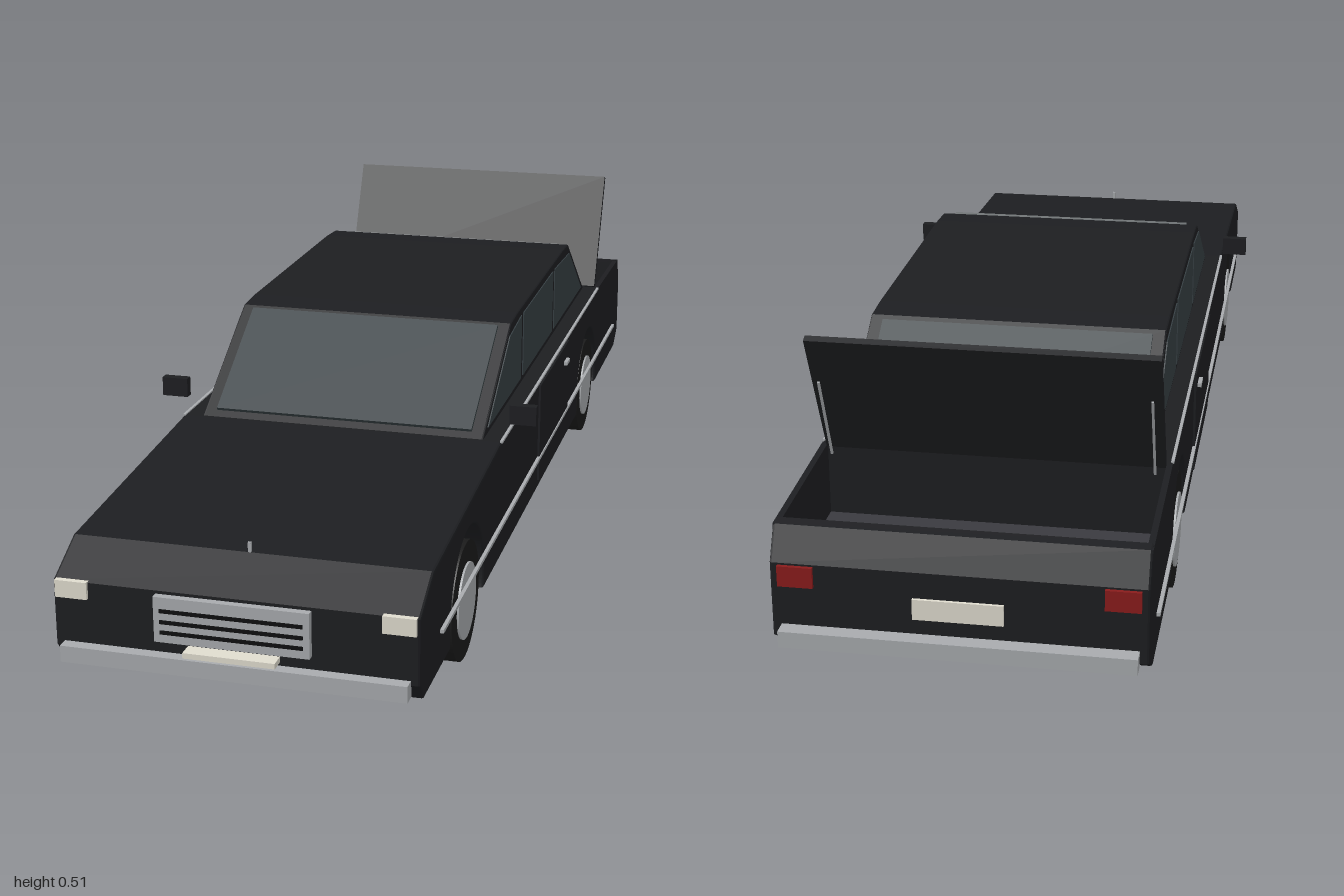
import * as THREE from 'three';

const mat = (color) => new THREE.MeshStandardMaterial({ color });

export function createModel() {
  const car = new THREE.Group();
  car.name = 'sedan';
  const paint = mat(0x1d1e21), black = mat(0x0e0e0f), tyre = mat(0x1b1b1b), chrome = mat(0xa8abae);
  const glass = mat(0x363f43), lamp = mat(0xe0dccf), red = mat(0x8a1c1c), lining = mat(0x3a3a3f);

  const add = (name, geometry, material) => {
    const mesh = new THREE.Mesh(geometry, material);
    mesh.name = name;
    car.add(mesh);
    return mesh;
  };
  const box = (name, material, w, h, d, x, y, z) => {
    const mesh = add(name, new THREE.BoxGeometry(w, h, d), material);
    mesh.position.set(x, y, z);
    return mesh;
  };
  // side profile given as [z, y] points, extruded across x
  const across = (name, material, shape, width, x = 0, bevel = 0) => {
    const g = new THREE.ExtrudeGeometry(shape, {
      depth: width - 2 * bevel, curveSegments: 32, bevelEnabled: bevel > 0,
      bevelSize: bevel, bevelThickness: bevel, bevelOffset: -bevel, bevelSegments: 2,
    });
    g.translate(0, 0, -(width - 2 * bevel) / 2).rotateY(-Math.PI / 2).translate(x, 0, 0);
    return add(name, g, material);
  };
  const poly = (points) => new THREE.Shape(points.map(([z, y]) => new THREE.Vector2(z, y)));
  // flat slab running between two [z, y] points
  const slab = (name, material, a, b, width, thickness, x = 0) => {
    const dz = b[0] - a[0], dy = b[1] - a[1];
    const mesh = box(name, material, width, thickness, Math.hypot(dz, dy), x, (a[1] + b[1]) / 2, (a[0] + b[0]) / 2);
    mesh.rotation.x = -Math.atan2(dy, dz);
    return mesh;
  };

  // lower body with wheel tunnels and an open boot
  const axles = [-0.52, 0.655];
  const archR = 0.125, wheelY = 0.1, dip = Math.asin(0.03 / archR);
  const body = new THREE.Shape();
  body.moveTo(-0.925, 0.07);
  for (const z of axles) {
    body.lineTo(z - archR * Math.cos(dip), 0.07);
    body.absarc(z, wheelY, archR, Math.PI + dip, -dip, true);
  }
  const outline = [[0.95, 0.07], [0.972, 0.1], [0.972, 0.208], [0.89, 0.25], [0.4, 0.284], [-0.66, 0.284],
    [-0.66, 0.155], [-0.928, 0.155], [-0.928, 0.28], [-0.945, 0.277], [-0.972, 0.225], [-0.972, 0.1]];
  outline.forEach(([z, y]) => body.lineTo(z, y));
  body.closePath();
  across('body', paint, body, 0.58, 0, 0.004);
  box('bootFloor', lining, 0.56, 0.004, 0.266, 0, 0.157, -0.794);

  // open boot lid
  slab('bootLid', paint, [-0.662, 0.284], [-0.767, 0.51], 0.56, 0.012);

  // cabin
  across('cabin', paint, poly([[0.4, 0.28], [0.16, 0.427], [0.1, 0.431], [-0.38, 0.434], [-0.44, 0.431], [-0.655, 0.28]]), 0.512, 0, 0.003);
  slab('windscreen', glass, [0.383, 0.295], [0.172, 0.424], 0.466, 0.006);
  slab('rearWindow', glass, [-0.632, 0.299], [-0.452, 0.426], 0.466, 0.006);

  const sideWindows = [
    [[0.36, 0.295], [0.07, 0.295], [0.07, 0.418], [0.18, 0.408]],
    [[0.05, 0.295], [-0.255, 0.295], [-0.255, 0.42], [0.05, 0.418]],
    [[-0.275, 0.295], [-0.61, 0.295], [-0.445, 0.412], [-0.275, 0.42]],
  ];

  for (const s of [-1, 1]) {
    // boot side walls, windows, doors and trim
    across('bootSide', paint, poly([[-0.655, 0.15], [-0.655, 0.284], [-0.945, 0.277], [-0.945, 0.15]]), 0.01, s * 0.285);
    sideWindows.forEach((points) => across('sideWindow', glass, poly(points), 0.004, s * 0.256));
    box('door', paint, 0.005, 0.19, 0.31, s * 0.2915, 0.184, -0.1);
    box('doorHandle', chrome, 0.008, 0.007, 0.032, s * 0.297, 0.246, -0.212);
    box('sideTrim', chrome, 0.006, 0.006, 1.73, s * 0.293, 0.134, -0.015);
    box('beltTrim', chrome, 0.005, 0.004, 1.05, s * 0.289, 0.284, -0.125);
    box('wingMirror', paint, 0.047, 0.034, 0.016, s * 0.319, 0.323, 0.357);
    slab('lidStrut', chrome, [-0.69, 0.28], [-0.75, 0.43], 0.004, 0.003, s * 0.265);

    // lamps
    box('headlight', lamp, 0.052, 0.028, 0.02, s * 0.259, 0.196, 0.968);
    box('tailLight', red, 0.055, 0.034, 0.016, s * 0.25, 0.205, -0.97);

    // wheels
    for (const z of axles) {
      const cylinder = (name, material, r, w, x) => {
        const mesh = add(name, new THREE.CylinderGeometry(r, r, w, 36), material);
        mesh.rotation.z = Math.PI / 2;
        mesh.position.set(s * x, wheelY, z);
      };
      cylinder('tyre', tyre, 0.1, 0.072, 0.25);
      cylinder('hubcap', chrome, 0.064, 0.006, 0.2865);
      cylinder('innerDisc', lining, 0.098, 0.002, 0.208);
    }
  }

  // front end
  box('grille', chrome, 0.246, 0.074, 0.014, 0, 0.166, 0.977);
  for (const y of [0.146, 0.163, 0.181]) box('grilleSlot', black, 0.226, 0.006, 0.004, 0, y, 0.984);
  box('frontBumper', chrome, 0.55, 0.027, 0.024, 0, 0.094, 0.98);
  box('frontPlate', lamp, 0.146, 0.009, 0.03, 0, 0.118, 0.983);
  box('hoodOrnament', chrome, 0.005, 0.016, 0.005, 0, 0.258, 0.888);

  // rear end
  box('rearBumper', chrome, 0.55, 0.027, 0.028, 0, 0.108, -0.984);
  box('rearPlate', lamp, 0.14, 0.034, 0.01, 0, 0.165, -0.972);

  return car;
}
